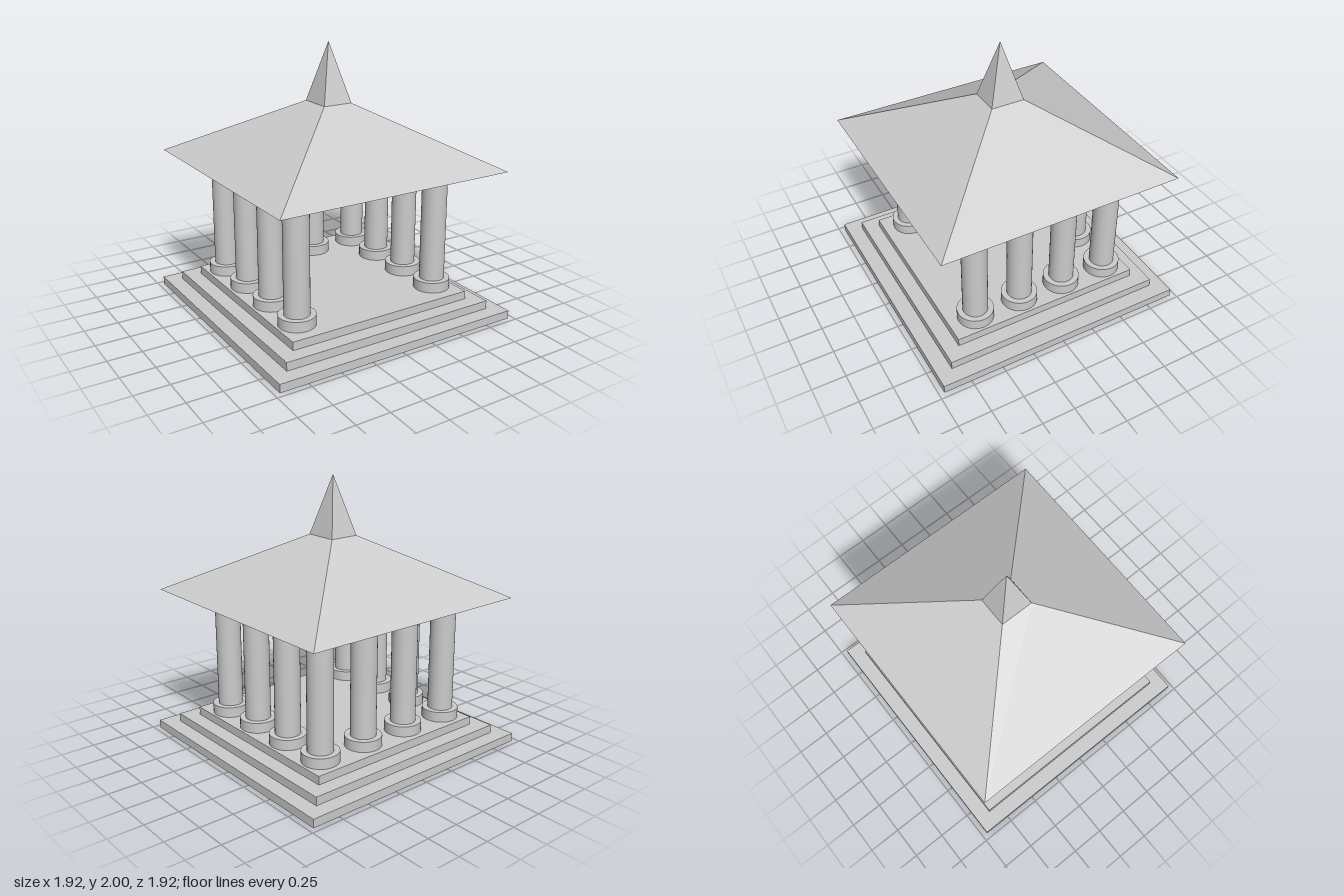
import * as THREE from 'three';

const material = new THREE.MeshStandardMaterial({ color: 0xcccccc });
const facetedMaterial = new THREE.MeshStandardMaterial({ color: 0xcccccc, flatShading: true });

function addMesh(parent, name, geometry, x, y, z, mat = material) {
  const mesh = new THREE.Mesh(geometry, mat);
  mesh.name = name;
  mesh.position.set(x, y, z);
  parent.add(mesh);
  return mesh;
}

// Box whose top face is shrunk to the given half sizes
function taperedBox(half, height, topX, topZ) {
  const geometry = new THREE.BoxGeometry(2 * half, height, 2 * half);
  const p = geometry.attributes.position;
  for (let i = 0; i < p.count; i++) {
    if (p.getY(i) > 0) {
      p.setX(i, Math.sign(p.getX(i)) * topX);
      p.setZ(i, Math.sign(p.getZ(i)) * topZ);
    }
  }
  geometry.computeVertexNormals();
  return geometry;
}

export function createModel() {
  const model = new THREE.Group();
  model.name = 'pavilion';

  // Stepped platform
  const stepHeight = 0.062;
  [0.96, 0.845, 0.733].forEach((half, i) => {
    addMesh(model, 'step' + (i + 1), new THREE.BoxGeometry(2 * half, stepHeight, 2 * half),
      0, stepHeight * (i + 0.5), 0);
  });

  // Columns along both sides and the back; the front stays open between its corners
  const floorY = 3 * stepHeight, baseTop = 0.263, eavesY = 1.125;
  const baseGeometry = new THREE.CylinderGeometry(0.134, 0.134, baseTop - floorY, 32);
  const shaftGeometry = new THREE.CylinderGeometry(0.0925, 0.0925, eavesY - baseTop, 32);
  const columnX = [-0.58, -0.19, 0.195, 0.58];
  const columnZ = [0.521, 0.16, -0.2, -0.562];
  columnZ.forEach((z, row) => {
    columnX.forEach((x, col) => {
      const onSide = col === 0 || col === 3;
      const onBack = row === 3;
      if (!onSide && !onBack) return;
      const column = new THREE.Group();
      column.name = 'column';
      column.position.set(x, 0, z);
      addMesh(column, 'columnBase', baseGeometry, 0, (floorY + baseTop) / 2, 0);
      addMesh(column, 'columnShaft', shaftGeometry, 0, (baseTop + eavesY) / 2, 0);
      model.add(column);
    });
  });

  // Hipped roof, closed underneath
  const spireY = 1.565, spireX = 0.113, spireZ = 0.126;
  addMesh(model, 'roof', taperedBox(0.913, spireY - eavesY, spireX, spireZ),
    0, (eavesY + spireY) / 2, 0);

  // Four-sided spire
  const spireGeometry = new THREE.ConeGeometry(Math.SQRT2, 2 - spireY, 4, 1, true);
  spireGeometry.rotateY(Math.PI / 4).scale(spireX, 1, spireZ);
  addMesh(model, 'spire', spireGeometry, 0, (spireY + 2) / 2, 0, facetedMaterial);

  return model;
}
